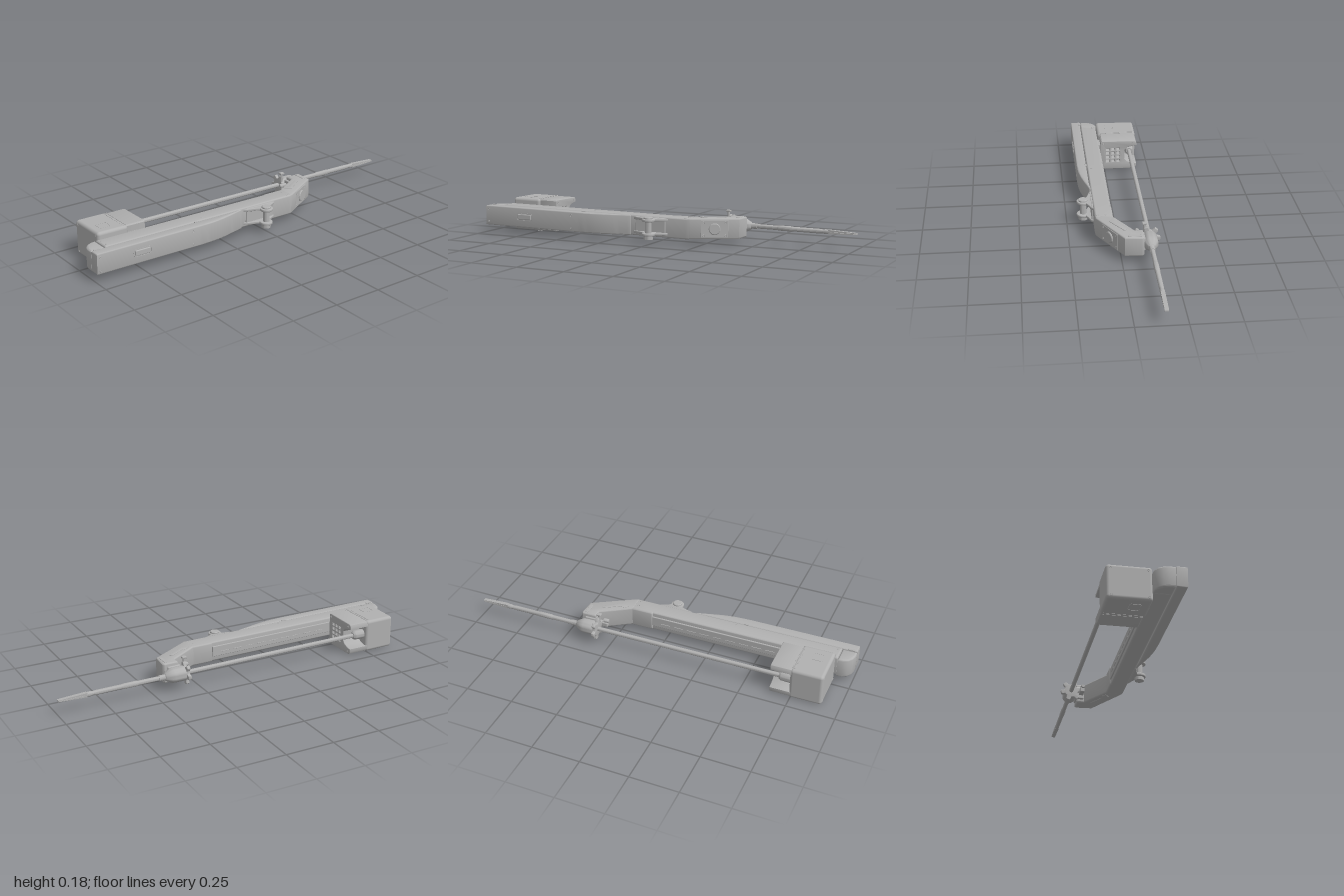
import * as THREE from 'three';
import { toCreasedNormals } from 'three/addons/utils/BufferGeometryUtils.js';
import { RoundedBoxGeometry } from 'three/addons/geometries/RoundedBoxGeometry.js';

const ROD_X = -0.145, ROD_Y = 0.09;

export function createModel() {
  const grey = new THREE.MeshStandardMaterial({ color: 0xb0b0b0 });
  grey.name = 'satin grey';
  const root = new THREE.Group();
  root.name = 'instrumentArm';
  const body = new THREE.Group();
  body.name = 'body';
  body.rotation.x = -0.009;
  root.add(body);

  const add = (name, geo, x = 0, y = 0, z = 0, parent = body) => {
    const m = new THREE.Mesh(geo, grey);
    m.name = name;
    m.position.set(x, y, z);
    parent.add(m);
    return m;
  };
  const shapeOf = pts => new THREE.Shape(pts.map(p => new THREE.Vector2(p[0], p[1])));
  // extrude along +z with a bevel that stays inside the outline
  const extrude = (shape, depth, bevel) => toCreasedNormals(new THREE.ExtrudeGeometry(shape, {
    depth: depth - 2 * bevel, bevelEnabled: bevel > 0, bevelThickness: bevel,
    bevelSize: bevel, bevelOffset: -bevel, bevelSegments: 3, curveSegments: 12,
  }).translate(0, 0, bevel), 0.6);
  // plan outline in x, z extruded from y0 to y1
  const plan = (name, pts, y0, y1, bevel) => add(name,
    extrude(shapeOf(pts.map(([x, z]) => [x, -z])), y1 - y0, bevel).rotateX(-Math.PI / 2), 0, y0, 0);
  const box = (name, x0, x1, y0, y1, z0, z1, r = 0.004) => add(name,
    new RoundedBoxGeometry(x1 - x0, y1 - y0, z1 - z0, 3, r), (x0 + x1) / 2, (y0 + y1) / 2, (z0 + z1) / 2);
  // solid turned about the z axis from [radius, z] points
  const turned = (name, pts, x, y, parent = body) => add(name, toCreasedNormals(new THREE.LatheGeometry(
    pts.map(p => new THREE.Vector2(p[0], p[1])), 28).rotateX(Math.PI / 2), 0.6), x, y, 0, parent);
  const screw = (x, y, z, axis, parent = body) => {
    const ring = new THREE.TorusGeometry(0.005, 0.0012, 6, 16);
    if (axis === 'x') ring.rotateY(Math.PI / 2);
    if (axis === 'y') ring.rotateX(Math.PI / 2);
    add('screwRing', ring, x, y, z, parent);
  };
  const outlineRing = (name, w, h, r) => {
    const draw = (p, a, b, c) => {
      p.moveTo(-a + c, -b); p.lineTo(a - c, -b); p.quadraticCurveTo(a, -b, a, -b + c);
      p.lineTo(a, b - c); p.quadraticCurveTo(a, b, a - c, b); p.lineTo(-a + c, b);
      p.quadraticCurveTo(-a, b, -a, b - c); p.lineTo(-a, -b + c); p.quadraticCurveTo(-a, -b, -a + c, -b);
      return p;
    };
    const s = draw(new THREE.Shape(), w / 2, h / 2, r);
    s.holes.push(draw(new THREE.Path(), w / 2 - 0.003, h / 2 - 0.003, r * 0.8));
    return add(name, new THREE.ExtrudeGeometry(s, { depth: 0.002, bevelEnabled: false }));
  };

  // main beam and rounded nose cap
  plan('mainBeam', [[0.03, 0.92], [0.03, -0.08], [0.024, -0.085], [0.024, -0.2], [0.114, -0.2],
    [0.116, -0.18], [0.118, 0.92]], 0.035, 0.142, 0.008);
  plan('noseCap', [[0.025, 0.922], [0.027, 0.95], [0.04, 0.975], [0.062, 0.991], [0.085, 0.997],
    [0.118, 0.997], [0.118, 0.922]], 0.03, 0.138, 0.01);
  box('innerRail', 0.023, 0.035, 0.062, 0.118, -0.08, 0.66, 0.003);
  for (let i = 0; i < 9; i++) box('railTooth', 0.0205, 0.026, 0.083, 0.087, -0.03 + i * 0.072, 0.022 + i * 0.072, 0.001);

  // tapered side cover
  const taper = new THREE.CatmullRomCurve3([[0.122, 0.13], [0.138, 0.19], [0.157, 0.265], [0.168, 0.335], [0.172, 0.42]]
    .map(([x, z]) => new THREE.Vector3(x, 0, z))).getPoints(14).map(p => [p.x, p.z]);
  plan('sideCover', [[0.114, 0.13], ...taper, [0.172, 0.997], [0.12, 0.997], [0.12, 0.2]], 0.034, 0.14, 0.006);
  const slot = outlineRing('sideButtonRim', 0.1, 0.04, 0.018);
  slot.rotation.y = Math.PI / 2;
  slot.position.set(0.1715, 0.091, 0.75);
  box('sideButton', 0.165, 0.177, 0.077, 0.105, 0.708, 0.792, 0.004);
  for (const z of [0.46, 0.98]) for (const y of [0.052, 0.12]) screw(0.172, y, z, 'x');
  for (const [x, z] of [[0.095, 0.36], [0.1, 0.905], [0.05, 0.905], [0.06, -0.175], [0.1, -0.175]]) screw(x, 0.142, z, 'y');
  box('topClip', 0.117, 0.127, 0.138, 0.1425, 0.395, 0.42, 0.001);
  box('noseClip', 0.117, 0.127, 0.138, 0.1425, 0.95, 0.985, 0.001);

  // bent neck
  plan('neck', [[0.024, -0.195], [-0.07, -0.345], [-0.11, -0.345], [-0.11, -0.42], [-0.1, -0.428],
    [-0.013, -0.422], [0.114, -0.205], [0.114, -0.19], [0.024, -0.19]], 0.037, 0.143, 0.008);
  const neckPanel = [[0.012, -0.235], [0.012, -0.265], [-0.035, -0.34], [-0.018, -0.35], [0.05, -0.25], [0.03, -0.215]];
  plan('neckTopPanel', neckPanel, 0.141, 0.1455, 0.001);
  plan('neckBottomPanel', neckPanel, 0.0345, 0.039, 0.001);
  box('neckEndTab', -0.1, -0.03, 0.14, 0.1455, -0.413, -0.395, 0.002);
  const plate = new THREE.Group();
  plate.name = 'neckSidePlate';
  plate.position.set(0.05, 0.09, -0.313);
  plate.rotation.y = Math.atan2(0.871, -0.491);
  body.add(plate);
  add('sidePanel', new RoundedBoxGeometry(0.14, 0.088, 0.006, 2, 0.002), 0, 0, 0, plate);
  turned('sideBoss', [[0, 0], [0.03, 0], [0.03, 0.007], [0.026, 0.01], [0, 0.01]], 0, 0, plate);
  for (const x of [-0.056, 0.056]) for (const y of [-0.032, 0.032]) screw(x, y, 0.003, 'z', plate);

  // pivot bracket: two ears and a pin
  const ear = [[0.112, -0.085], [0.125, -0.075], [0.142, -0.04]];
  for (let i = 0; i <= 12; i++) {
    const a = -2.0 + (i / 12) * 4.0;
    ear.push([0.164 + 0.034 * Math.cos(a), 0.005 + 0.034 * Math.sin(a)]);
  }
  ear.push([0.142, 0.05], [0.127, 0.1], [0.112, 0.12]);
  plan('lowerEar', ear, 0.047, 0.061, 0.003);
  plan('upperEar', ear, 0.12, 0.134, 0.003);
  box('bracketBase', 0.11, 0.124, 0.045, 0.136, -0.07, 0.1, 0.004);
  turned('pivotPin', [[0, 0.028], [0.024, 0.028], [0.024, 0.046], [0.017, 0.05], [0.017, 0.118],
    [0.024, 0.12], [0.024, 0.14], [0.021, 0.143], [0, 0.143]], 0, 0).rotation.x = -Math.PI / 2;
  body.children[body.children.length - 1].position.set(0.164, 0, 0.005);

  // drive housing
  const drive = box('driveHousing', -0.185, 0.033, -0.002, 0.173, 0.742, 0.911, 0.016);
  drive.rotation.z = 0.012;
  const rear = shapeOf([[-0.165, -0.002], [0.015, 0], [0.021, 0.006], [0.02, 0.166], [0.014, 0.172], [-0.168, 0.17],
    [-0.179, 0.166], [-0.184, 0.155], [-0.184, 0.142], [-0.16, 0.138], [-0.13, 0.13], [-0.115, 0.112], [-0.115, 0.062],
    [-0.13, 0.044], [-0.158, 0.034], [-0.183, 0.03], [-0.183, 0.015], [-0.177, 0.003]]);
  for (let c = 0; c < 3; c++) for (let r = 0; r < 4; r++) {
    const x = -0.088 + c * 0.03, y = 0.042 + r * 0.024, h = new THREE.Path();
    h.moveTo(x, y); h.lineTo(x, y + 0.014); h.lineTo(x + 0.018, y + 0.014); h.lineTo(x + 0.018, y); h.closePath();
    rear.holes.push(h);
  }
  add('driveRear', extrude(rear, 0.12, 0.003), 0, 0, 0.641);
  box('driveMount', 0.0, 0.05, 0.04, 0.135, 0.68, 0.9);
  for (const [x, y] of [[-0.163, 0.153], [0.011, 0.156], [-0.16, 0.013], [0.014, 0.016]]) screw(x, y, 0.911, 'z');
  for (const [x, y] of [[-0.16, 0.155], [0.005, 0.157], [-0.16, 0.013], [0.005, 0.013]]) screw(x, y, 0.641, 'z');
  for (const y of [-0.0035, 0.1735]) {
    for (const z of [0.748, 0.762]) box('housingRib', -0.17, 0.02, y - 0.001, y + 0.001, z - 0.0015, z + 0.0015, 0.0005);
    const win = outlineRing('housingWindow', 0.055, 0.06, 0.01);
    win.rotation.x = -Math.PI / 2;
    win.position.set(-0.04, y - 0.001, 0.84);
  }
  turned('rodSocket', [[0, 0.68], [0.017, 0.68], [0.024, 0.69], [0.026, 0.745], [0, 0.745]], ROD_X, ROD_Y);

  // rod, tip sleeve and jaws
  turned('rod', [[0, -0.6], [0.0115, -0.6], [0.0115, 0.72], [0, 0.72]], ROD_X, ROD_Y);
  turned('tipSleeve', [[0, -0.825], [0.01, -0.825], [0.012, -0.8], [0.012, -0.665], [0.0135, -0.66],
    [0.0135, -0.59], [0.0115, -0.58], [0, -0.58]], ROD_X, ROD_Y);
  turned('wristJoint', [[0, -0.865], [0.009, -0.865], [0.012, -0.85], [0.0125, -0.835], [0.009, -0.815], [0, -0.815]], ROD_X, ROD_Y);
  for (const s of [-1, 1]) {
    const jaw = extrude(shapeOf([[-0.85, 0.0008 * s], [-0.998, 0.0008 * s], [-0.998, 0.004 * s], [-0.94, 0.007 * s], [-0.85, 0.011 * s]]), 0.02, 0);
    add(s > 0 ? 'upperJaw' : 'lowerJaw', jaw.rotateY(-Math.PI / 2), ROD_X + 0.01, ROD_Y, 0);
  }

  // cannula collar with lobed flange, clamp and knobs
  turned('collar', [[0, -0.47], [0.0145, -0.47], [0.0145, -0.438], [0.02, -0.434], [0.036, -0.405], [0.038, -0.39],
    [0.038, -0.335], [0.034, -0.325], [0, -0.325]], ROD_X, ROD_Y);
  const lobes = [];
  for (let i = 0; i < 72; i++) {
    const a = i / 72 * Math.PI * 2, r = 0.047 + 0.01 * Math.tanh(3 * Math.cos(6 * a - 1.2));
    lobes.push([r * Math.cos(a), r * Math.sin(a)]);
  }
  add('collarFlange', extrude(shapeOf(lobes), 0.018, 0.003), ROD_X, ROD_Y, -0.332);
  box('clampBlock', -0.118, -0.072, 0.055, 0.125, -0.405, -0.335, 0.006);
  box('clampLever', -0.1, -0.075, 0.075, 0.1, -0.345, -0.285, 0.005);
  turned('leverKnob', [[0, -0.308], [0.011, -0.308], [0.011, -0.286], [0.008, -0.28], [0, -0.28]], -0.086, 0.108);
  const stud = add('topStud', new THREE.CylinderGeometry(0.006, 0.006, 0.05, 16), -0.12, 0.14, -0.318);
  add('studHead', new RoundedBoxGeometry(0.022, 0.01, 0.024, 2, 0.003), 0, 0.023, 0, stud);
  return root;
}
